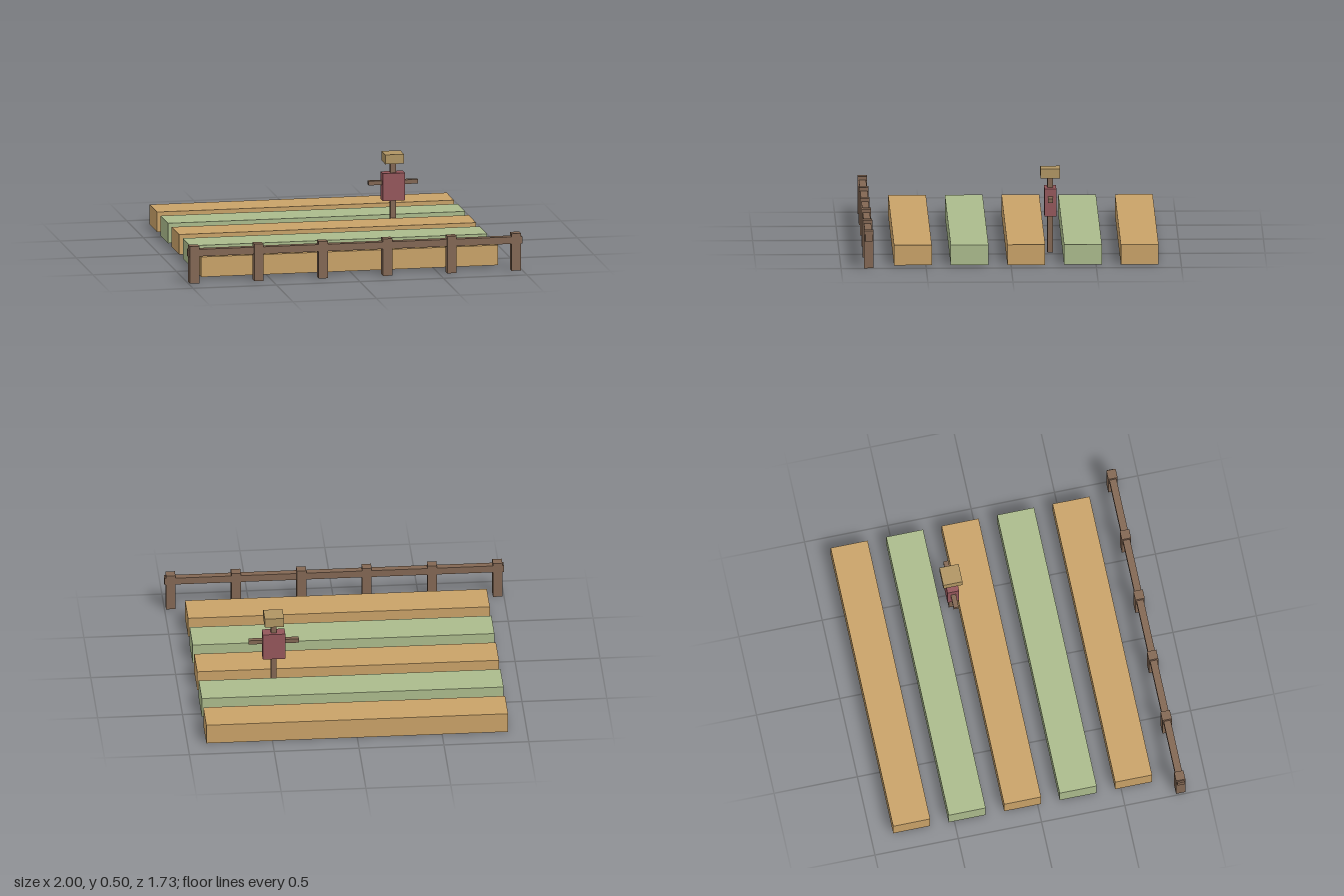
import * as THREE from 'three';

const paint = (name, color) => {
  const m = new THREE.MeshStandardMaterial({ color });
  m.name = name;
  return m;
};

export function createModel() {
  const soil = paint('tan', 0xc9a268);
  const crop = paint('green', 0xabbb8c);
  const wood = paint('brown', 0x826753);
  const cloth = paint('red', 0x94565a);
  const straw = paint('straw', 0xb09563);

  const model = new THREE.Group();
  model.name = 'farmPlot';

  const group = (name) => {
    const g = new THREE.Group();
    g.name = name;
    model.add(g);
    return g;
  };
  // Box with its centre in x and z, resting on the given bottom height
  const box = (parent, name, material, [w, h, d], [x, bottom, z]) => {
    const mesh = new THREE.Mesh(new THREE.BoxGeometry(w, h, d), material);
    mesh.name = name;
    mesh.position.set(x, bottom + h / 2, z);
    parent.add(mesh);
  };

  // Five alternating planting beds
  const beds = group('beds');
  for (let i = 0; i < 5; i++) {
    box(beds, 'bed', i % 2 ? crop : soil, [1.778, 0.12, 0.222], [0, 0, -0.756 + i * 0.333]);
  }

  // Front fence: six posts and one rail
  const fence = group('fence');
  for (let i = 0; i < 6; i++) {
    box(fence, 'fencePost', wood, [0.056, 0.222, 0.056], [-0.963 + i * 0.3852, 0, 0.837]);
  }
  box(fence, 'fenceRail', wood, [2, 0.042, 0.042], [0, 0.16, 0.837]);

  // Scarecrow standing between two beds
  const scarecrow = group('scarecrow');
  scarecrow.position.set(0.442, 0, -0.239);
  box(scarecrow, 'pole', wood, [0.034, 0.46, 0.034], [0, 0, 0]);
  box(scarecrow, 'torso', cloth, [0.133, 0.164, 0.07], [0, 0.224, 0]);
  box(scarecrow, 'arms', wood, [0.296, 0.025, 0.03], [0, 0.317, 0]);
  box(scarecrow, 'head', straw, [0.113, 0.056, 0.115], [0, 0.449, 0]);

  return model;
}
